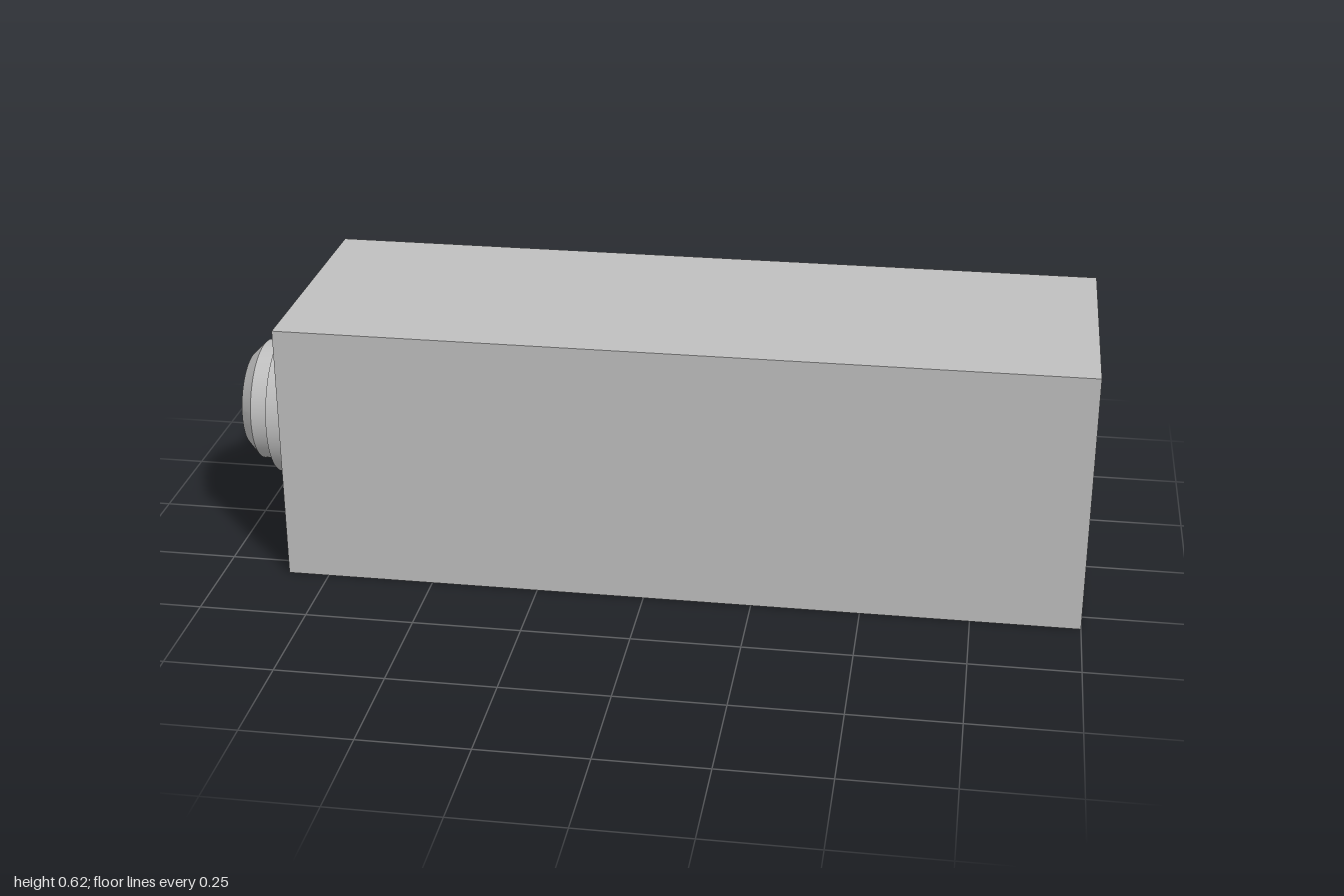
import * as THREE from 'three';
import { toCreasedNormals } from 'three/addons/utils/BufferGeometryUtils.js';

const HALF = 0.3077;        // half the width of the square section
const X_PLUG = -0.846;      // plug end of the body
const X_OPEN = 1;           // socket end of the body
const SEGMENTS = 72;

export function createModel() {
  const group = new THREE.Group();
  const grey = new THREE.MeshStandardMaterial({ color: 0xbfbfbf });
  grey.name = 'plain grey';

  const add = (name, geometry) => {
    const mesh = new THREE.Mesh(geometry, grey);
    mesh.name = name;
    group.add(mesh);
    return mesh;
  };

  // Turned part along the length; profile is [radius, x] pairs
  const turned = (name, profile) => {
    const points = profile.map(([r, x]) => new THREE.Vector2(r, -x));
    const geometry = toCreasedNormals(new THREE.LatheGeometry(points, SEGMENTS), 0.5);
    geometry.rotateZ(Math.PI / 2).translate(0, HALF, 0);
    return add(name, geometry);
  };

  // Long square body, left open at the socket end (first box face dropped)
  const body = new THREE.BoxGeometry(X_OPEN - X_PLUG, HALF * 2, HALF * 2);
  body.setIndex(Array.from(body.index.array).slice(6));
  body.clearGroups();
  body.translate((X_OPEN + X_PLUG) / 2, HALF, 0);
  add('body', body);

  // End face with the round opening
  const face = new THREE.Shape([
    new THREE.Vector2(-HALF, -HALF), new THREE.Vector2(HALF, -HALF),
    new THREE.Vector2(HALF, HALF), new THREE.Vector2(-HALF, HALF),
  ]);
  face.holes.push(new THREE.Path().absarc(0, 0, 0.185, 0, Math.PI * 2, true));
  const endFace = new THREE.ShapeGeometry(face, SEGMENTS);
  endFace.rotateY(Math.PI / 2).translate(X_OPEN, HALF, 0);
  add('socketEndFace', endFace);

  // Stepped bore: floor, long bore, ledge, wide mouth
  turned('socket', [
    [0, -0.69], [0.154, -0.69], [0.154, 0.923], [0.185, 0.923], [0.185, X_OPEN],
  ]);

  // Stepped plug with a chamfered tip
  turned('plug', [
    [0.1745, X_PLUG], [0.1745, -0.923], [0.1445, -0.923],
    [0.1445, -0.969], [0.114, -1], [0, -1],
  ]);

  return group;
}
